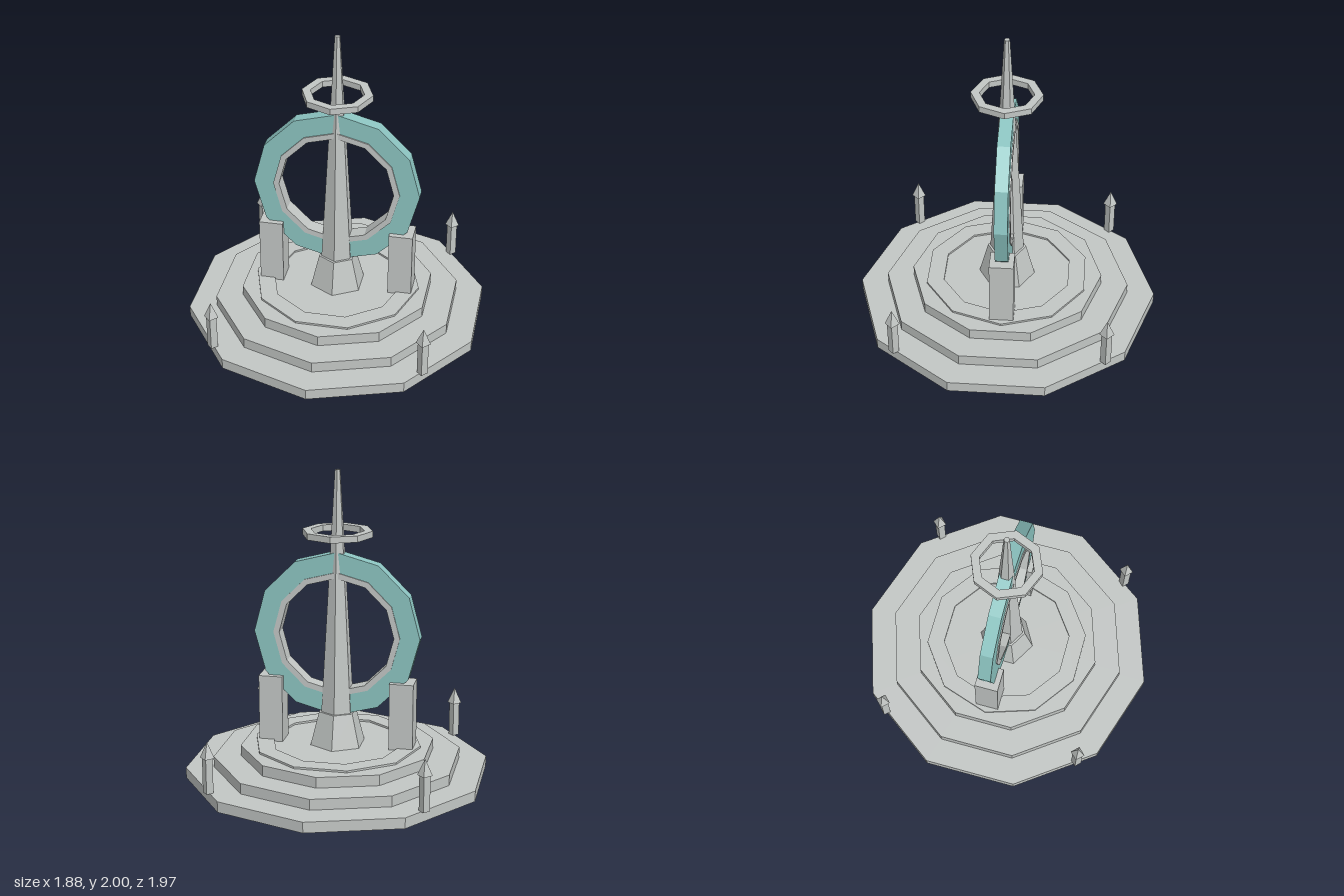
import * as THREE from 'three';

const stone = new THREE.MeshStandardMaterial({ color: 0xc2c6c4, flatShading: true });
stone.name = 'pale stone';
const teal = new THREE.MeshStandardMaterial({ color: 0x8cc4c1, flatShading: true });
teal.name = 'teal';

function polygon(target, radius, sides) {
  const points = [];
  for (let i = 0; i < sides; i++) {
    const a = (i / sides) * Math.PI * 2;
    points.push(new THREE.Vector2(radius * Math.cos(a), radius * Math.sin(a)));
  }
  return target.setFromPoints(points);
}

// Flat polygonal ring in the xy plane, centred on z = 0
function ringGeometry(outer, inner, depth, sides) {
  const shape = polygon(new THREE.Shape(), outer, sides);
  shape.holes.push(polygon(new THREE.Path(), inner, sides));
  return new THREE.ExtrudeGeometry(shape, { depth, bevelEnabled: false }).translate(0, 0, -depth / 2);
}

export function createModel() {
  const model = new THREE.Group();
  model.name = 'monument';

  function add(name, geometry, material, x = 0, y = 0, z = 0, parent = model) {
    const mesh = new THREE.Mesh(geometry, material);
    mesh.name = name;
    mesh.position.set(x, y, z);
    parent.add(mesh);
    return mesh;
  }

  // Tapered prism standing on y = bottom
  function prism(name, rTop, rBottom, bottom, top, sides, x = 0, z = 0, parent = model) {
    const geometry = new THREE.CylinderGeometry(rTop, rBottom, top - bottom, sides);
    return add(name, geometry, stone, x, (bottom + top) / 2, z, parent);
  }

  // Stepped ten-sided base
  [0.987, 0.807, 0.63].forEach((r, i) => prism('baseStep' + (i + 1), r, r, i * 0.07, (i + 1) * 0.07, 10));

  // Thin raised rim on the top step
  add('floorRim', ringGeometry(0.545, 0.43, 0.014, 10).rotateX(-Math.PI / 2), stone, 0, 0.216, 0);

  // Six-sided pedestal and spire
  prism('pedestal', 0.126, 0.184, 0.21, 0.43, 6);
  prism('spire', 0.018, 0.11, 0.43, 2, 6);

  // Halo around the spire
  add('halo', ringGeometry(0.224, 0.17, 0.04, 8).rotateX(-Math.PI / 2), stone, 0, 1.6, 0);

  // Upright twelve-sided ring with a stone lining
  add('portalRing', ringGeometry(0.537, 0.41, 0.084, 12), teal, 0, 0.945, 0);
  add('portalLining', ringGeometry(0.41, 0.372, 0.1, 12), stone, 0, 0.945, 0);

  // Pylons holding the ring
  for (const side of [-1, 1]) {
    add(side > 0 ? 'leftPylon' : 'rightPylon', new THREE.BoxGeometry(0.155, 0.443, 0.154), stone, side * 0.427, 0.4315, 0);
  }

  // Corner posts with pointed caps
  for (const x of [-0.675, 0.675]) {
    for (const z of [-0.675, 0.675]) {
      const post = new THREE.Group();
      post.name = (z > 0 ? 'front' : 'back') + (x > 0 ? 'Left' : 'Right') + 'Post';
      prism('postShaft', 0.034, 0.034, 0.07, 0.3, 4, x, z, post);
      add('postCap', new THREE.ConeGeometry(0.047, 0.105, 4), stone, x, 0.3525, z, post);
      model.add(post);
    }
  }

  return model;
}
